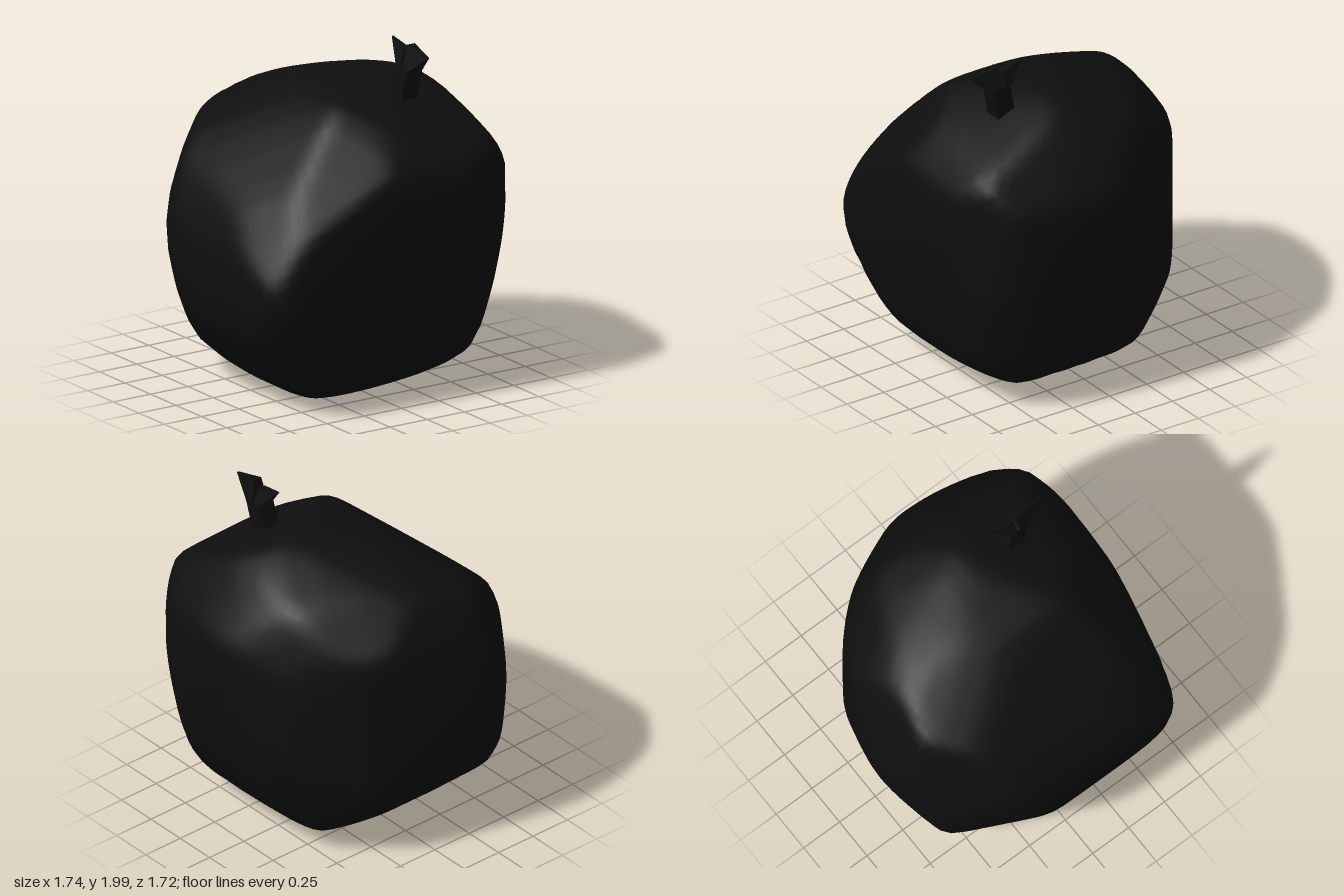
import * as THREE from 'three';
import { mergeVertices } from 'three/addons/utils/BufferGeometryUtils.js';

// A slightly rounded closed outline in the plane facing a given azimuth and elevation, as
// (right, up) points about (0, 1, 0)
function outline(azimuth, elevation, points) {
  const a = THREE.MathUtils.degToRad(azimuth), e = THREE.MathUtils.degToRad(elevation);
  const corners = points.map(([u, v]) => new THREE.Vector3(u, v, 0));
  const curve = new THREE.CatmullRomCurve3(corners, true, 'catmullrom', 0.28);
  return {
    right: new THREE.Vector3(Math.cos(a), 0, -Math.sin(a)),
    up: new THREE.Vector3(-Math.sin(a) * Math.sin(e), Math.cos(e), -Math.cos(a) * Math.sin(e)),
    edge: curve.getPoints(points.length * 4),
  };
}

const OUTLINES = [
  outline(0, 0, [[-.88, -.13], [-.8, -.56], [-.5, -.92], [-.13, -1], [.53, -.88], [.74, -.54],
    [.88, .2], [.84, .37], [.61, .69], [.3, .81], [-.21, .71], [-.69, .33]]),
  outline(90, 0, [[-.48, -1], [-.7, -.67], [-.87, .28], [-.6, .63], [-.09, .81], [.59, .63],
    [.77, .28], [.87, -.09], [.67, -.58], [.42, -.89]]),
  outline(0, 90, [[-.19, .87], [.4, .67], [.73, .35], [.88, -.1], [.77, -.65], [.35, -.87],
    [-.57, -.78], [-.86, -.67], [-.86, .24], [-.63, .63]]),
  outline(35, 25, [[-1.09, -.21], [-1, -.48], [-.7, -.87], [.14, -1.1], [.63, -.76], [.84, -.1],
    [.72, .44], [.3, .79], [-.26, .67], [-.79, .24]]),
  outline(215, 25, [[-.84, 0], [-.67, .59], [-.34, .87], [.37, .77], [.92, .21], [1.09, -.16],
    [1.01, -.43], [.72, -.75], [.28, -1.02], [-.63, -.77]]),
  outline(145, -25, [[-1.02, .22], [-.52, .76], [.17, .81], [.65, .65], [.89, -.1], [.7, -.7],
    [.03, -1.13], [-.8, -.77], [-1.01, -.06]]),
];

// Distance along a ray from o in direction d to the edge of one outline
function reach({ right, up, edge }, o, d) {
  const ox = o.dot(right), oy = o.dot(up), dx = d.dot(right), dy = d.dot(up);
  let best = 0;
  for (let i = 0; i < edge.length - 1; i++) {
    const p = edge[i], q = edge[i + 1];
    const ax = p.x - ox, ay = p.y - oy, ex = q.x - p.x, ey = q.y - p.y;
    const det = dx * ey - dy * ex;
    if (Math.abs(det) < 1e-9) continue;
    const t = (ax * ey - ay * ex) / det, s = (ax * dy - ay * dx) / det;
    if (s >= -1e-6 && s <= 1 + 1e-6) best = Math.max(best, t);
  }
  return best || 10;
}

// Lumpy body: a sphere trimmed by every outline, blended softly
function bodyGeometry() {
  let geo = new THREE.IcosahedronGeometry(1, 20);
  geo.deleteAttribute('normal');
  geo.deleteAttribute('uv');
  geo = mergeVertices(geo, 1e-4);
  const pos = geo.attributes.position;
  const centre = new THREE.Vector3(0, -0.1, 0), d = new THREE.Vector3();
  const sharpness = 60;
  for (let i = 0; i < pos.count; i++) {
    d.fromBufferAttribute(pos, i).normalize();
    let sum = 0;
    for (const o of OUTLINES) sum += Math.pow(reach(o, centre, d), -sharpness);
    d.multiplyScalar(Math.pow(sum, -1 / sharpness)).add(centre);
    pos.setXYZ(i, d.x, d.y + 1, d.z);
  }
  geo.computeVertexNormals();
  return geo;
}

// Forked stalk: a (z, y) outline given thickness in x, thinning toward the tips
function stalkGeometry() {
  const profile = [[.31, 1.6], [.43, 1.6], [.48, 1.85], [.61, 1.96], [.44, 2], [.43, 1.88],
    [.41, 1.88], [.41, 1.96], [.26, 2], [.37, 1.87]];
  const shape = new THREE.Shape(profile.map(([z, y]) => new THREE.Vector2(z, y)));
  const geo = new THREE.ExtrudeGeometry(shape, { depth: 1, bevelEnabled: false });
  geo.translate(0, 0, -0.5).rotateY(-Math.PI / 2);
  const pos = geo.attributes.position;
  for (let i = 0; i < pos.count; i++) {
    const y = pos.getY(i);
    const rise = THREE.MathUtils.clamp((y - 1.6) / 0.3, 0, 1);
    let half = y > 1.9 ? 0.025 : 0.052;
    if (Math.abs(pos.getZ(i) - 0.42) > 0.12) half = 0.006;
    pos.setX(i, 0.25 + 0.025 * rise + Math.sign(pos.getX(i)) * half);
  }
  geo.computeVertexNormals();
  return geo;
}

export function createModel() {
  const group = new THREE.Group();
  const body = new THREE.Mesh(bodyGeometry(), new THREE.MeshStandardMaterial({ color: 0x0e0e0e }));
  body.name = 'body';
  const stalk = new THREE.Mesh(stalkGeometry(),
    new THREE.MeshStandardMaterial({ color: 0x0e0e0e, flatShading: true }));
  stalk.name = 'stalk';
  group.add(body, stalk);
  return group;
}
